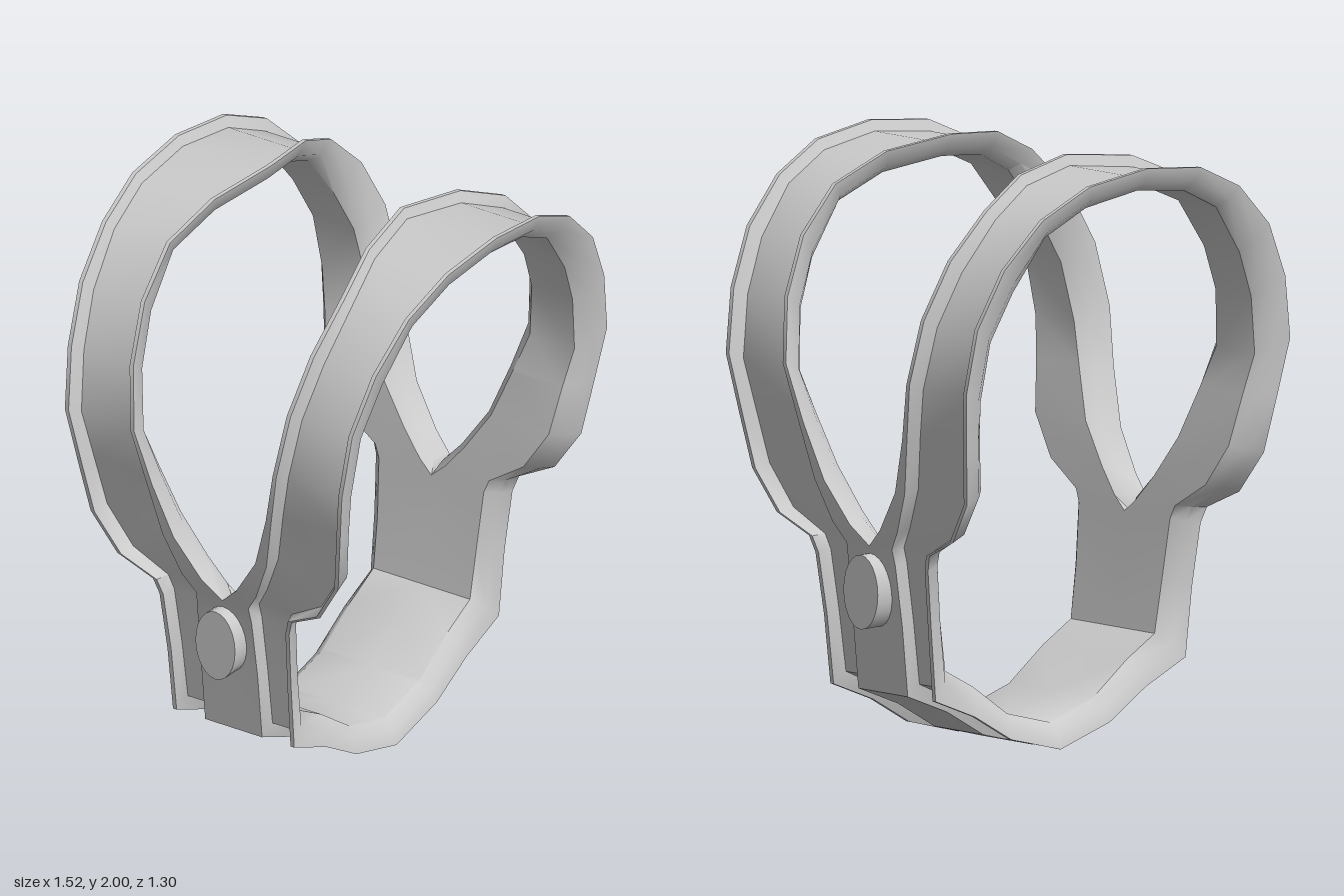
import * as THREE from 'three';
import { toCreasedNormals } from 'three/addons/utils/BufferGeometryUtils.js';

// Stations up one side: inner x,y, outer x,y, strap edges z0,z1, inner rim width, edge rounding
const HALF = [
  [0, .085, 0, 0, 0, .245, .115, 0],
  [.2, .14, .23, .062, 0, .245, .115, 0],
  [.36, .25, .4, .16, 0, .245, .115, 0],
  [.49, .32, .585, .235, 0, .245, .115, 0],
  [.52, .5, .61, .47, 0, .25, .115, 0],
  [.545, .7, .638, .68, 0, .262, .11, 0],
  [.55, .745, .65, .735, 0, .28, .105, 1],
  [.562, .83, .67, .8, .07, .41, .08, 1],
  [.58, .97, .695, .94, .165, .5, .045, 1],
  [.615, 1.14, .727, 1.13, .23, .53, .022, 1],
  [.642, 1.28, .758, 1.325, .28, .56, .015, 1],
  [.61, 1.48, .72, 1.54, .31, .575, .015, 1],
  [.53, 1.64, .62, 1.73, .335, .6, .015, 1],
  [.4, 1.81, .46, 1.88, .345, .62, .015, 1],
  [.23, 1.89, .26, 1.97, .305, .64, .015, 1],
  [0, 1.92, 0, 2, .26, .65, .015, 1],
];

// Strap cross-section as [z, fraction from inner to outer surface]
const section = (a, b, w, k) => [
  [a, 1], [a + w, 1], [a + w + .012, .55],
  [b - .03, .55], [b - .015, 1], [b, 1],
  [b - .012, .4], [b - .05, 0],
  [a + .05 * k, 0], [a + .015 * k, .35],
];

// One closed hoop; side = 1 for the front, -1 for the back
function hoopGeometry(side) {
  const mirrored = HALF.slice(1, -1).reverse()
    .map(([ix, iy, ox, oy, ...rest]) => [-ix, iy, -ox, oy, ...rest]);
  const ring = [...HALF, ...mirrored];
  const pos = [], index = [];
  for (const [ix, iy, ox, oy, a, b, w, k] of ring) {
    for (const [z, f] of section(a, b, w, k)) {
      pos.push(ix + (ox - ix) * f, iy + (oy - iy) * f, z * side);
    }
  }
  const n = 10, m = ring.length;
  for (let i = 0; i < m; i++) {
    for (let j = 0; j < n; j++) {
      const i2 = (i + 1) % m, j2 = (j + 1) % n;
      const p = i * n + j, q = i2 * n + j, r = i2 * n + j2, s = i * n + j2;
      if (side > 0) index.push(p, q, r, p, r, s);
      else index.push(p, r, q, p, s, r);
    }
  }
  const geo = new THREE.BufferGeometry();
  geo.setAttribute('position', new THREE.Float32BufferAttribute(pos, 3));
  geo.setIndex(index);
  return toCreasedNormals(geo, THREE.MathUtils.degToRad(42));
}

export function createModel() {
  const group = new THREE.Group();
  const material = new THREE.MeshStandardMaterial({ color: 0xcccccc });
  const add = (name, geo) => {
    const mesh = new THREE.Mesh(geo, material);
    mesh.name = name;
    group.add(mesh);
    return mesh;
  };

  // Two hoops that share the lower band and split above the pivots
  add('frontHoop', hoopGeometry(1));
  add('backHoop', hoopGeometry(-1));

  // Oval pivot studs on both sides
  for (const [name, s] of [['leftPivotStud', 1], ['rightPivotStud', -1]]) {
    const stud = new THREE.CylinderGeometry(1, 1, .1, 24);
    stud.rotateZ(Math.PI / 2);
    stud.scale(1, .125, .08);
    add(name, stud).position.set(.64 * s, .585, 0);
  }
  return group;
}
